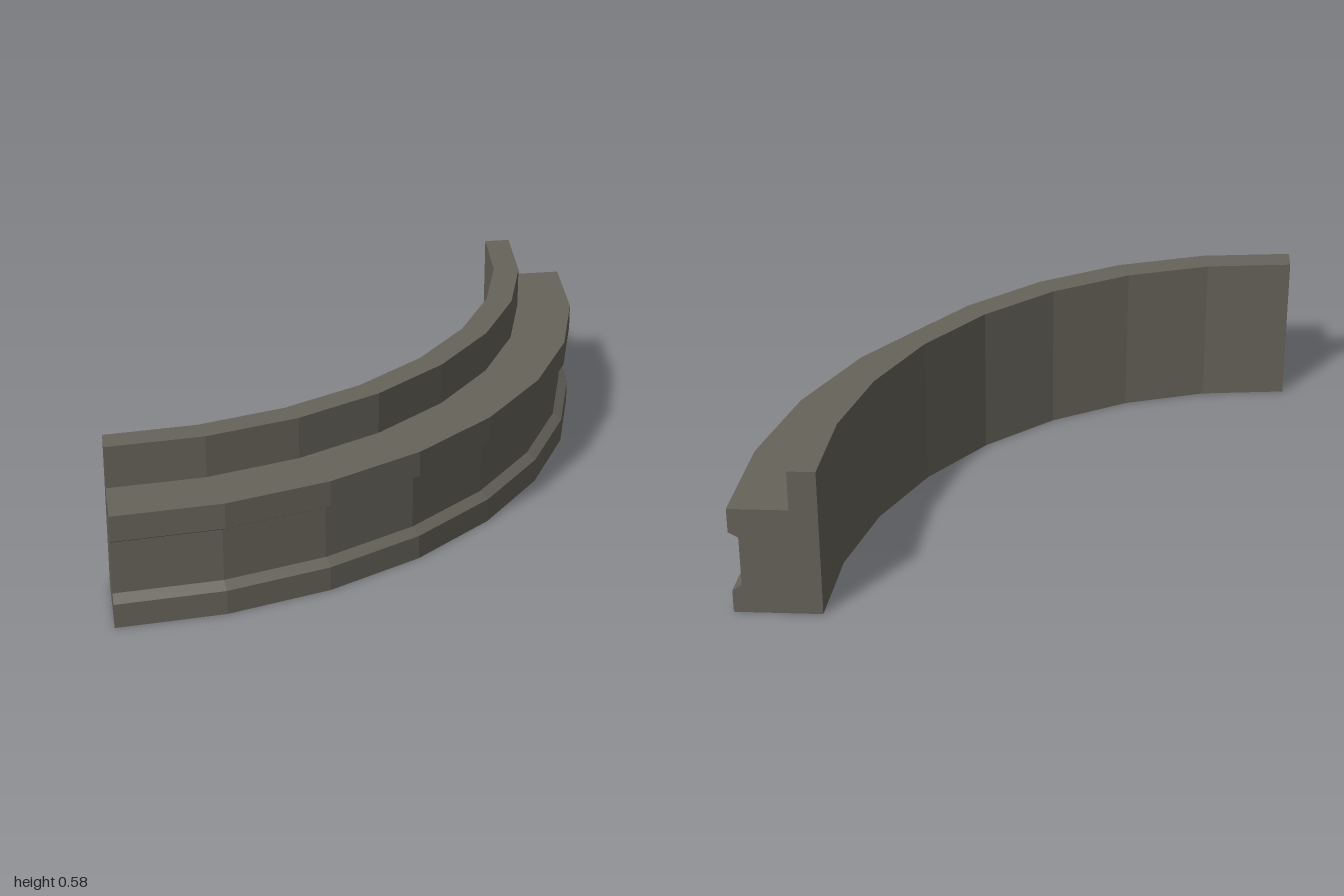
import * as THREE from 'three';

export function createModel() {
  const group = new THREE.Group();
  group.name = 'curvedCurb';
  const stone = new THREE.MeshStandardMaterial({ color: 0x66635a, flatShading: true });
  stone.name = 'dark stone';

  // Cross-section as (radius, height), counterclockwise from the inner foot
  const profile = [
    [1.685, 0], [2, 0], [2, 0.09], [1.965, 0.115], [1.965, 0.31], [2, 0.33],
    [2, 0.425], [1.785, 0.425], [1.785, 0.58], [1.685, 0.58],
  ].map(([r, y]) => new THREE.Vector2(r, y));

  const add = (name, geometry) => {
    const mesh = new THREE.Mesh(geometry, stone);
    mesh.name = name;
    mesh.position.set(-1, 0, -1); // centre of the arc
    group.add(mesh);
  };

  // Quarter ring in eight flat segments
  const ring = new THREE.LatheGeometry([...profile, profile[0].clone()], 8, 0, Math.PI / 2).toNonIndexed();
  ring.computeVertexNormals();
  add('quarterRing', ring);

  // End face looking towards -x
  const shape = new THREE.Shape(profile);
  add('rightEnd', new THREE.ShapeGeometry(shape).rotateY(-Math.PI / 2));

  // End face looking towards -z, with its winding reversed
  const backEnd = new THREE.ShapeGeometry(shape);
  backEnd.index.array.reverse();
  backEnd.computeVertexNormals();
  add('backEnd', backEnd);

  return group;
}
